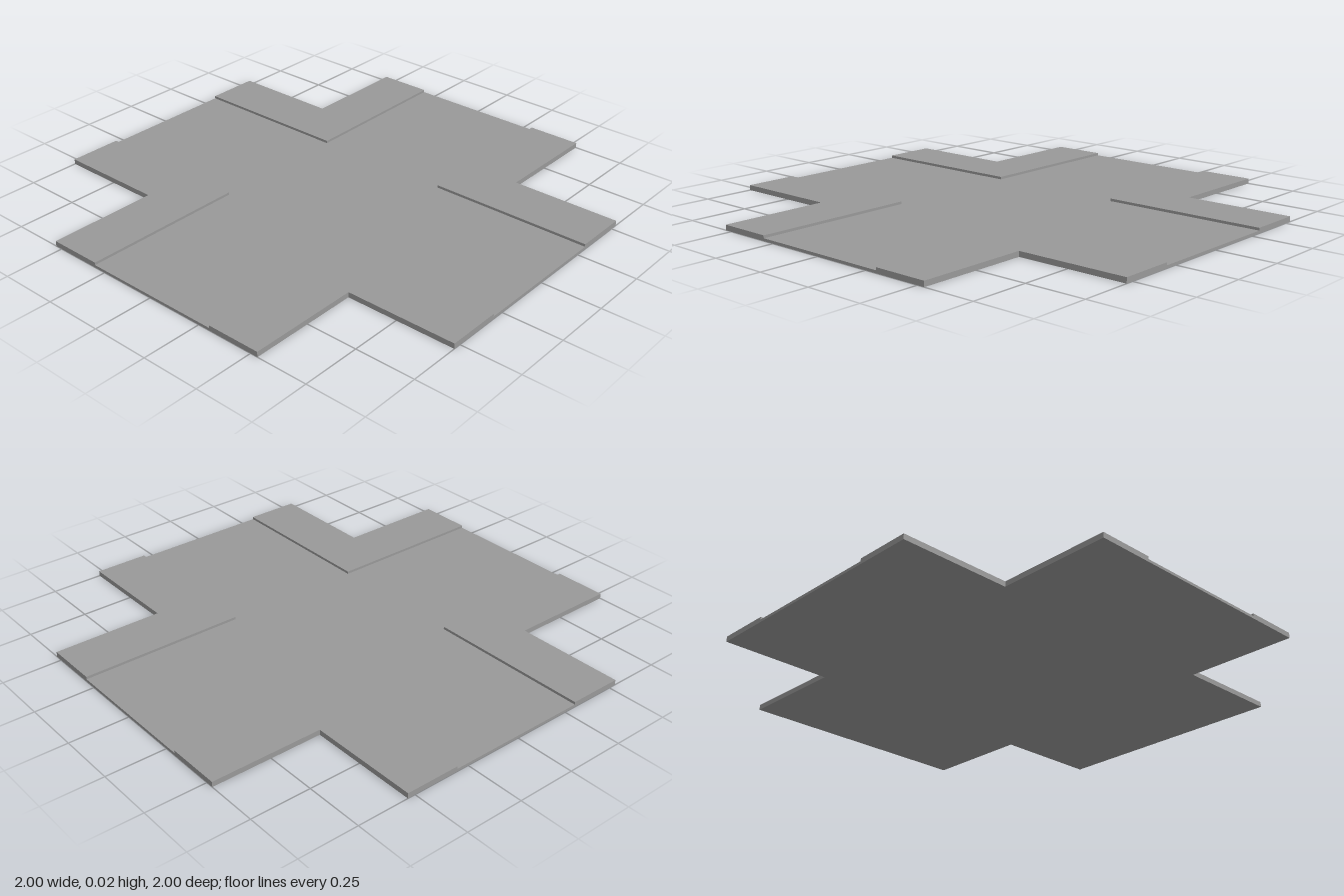
import * as THREE from 'three';

const HALF_ROAD = 0.302;  // half width of each roadway
const HALF_ARM = 0.532;   // half width of each arm including pavements
const REACH = 1;          // centre to the end of an arm
const ROAD_HEIGHT = 0.011;
const PAVEMENT_HEIGHT = 0.022;

// Flat slab standing on y = 0 from a plan outline
function slab(name, points, height, material) {
  const shape = new THREE.Shape(points.map(([x, y]) => new THREE.Vector2(x, y)));
  const geometry = new THREE.ExtrudeGeometry(shape, { depth: height, bevelEnabled: false });
  geometry.rotateX(-Math.PI / 2);
  const mesh = new THREE.Mesh(geometry, material);
  mesh.name = name;
  return mesh;
}

export function createModel() {
  const group = new THREE.Group();
  group.name = 'crossroads';
  const material = new THREE.MeshStandardMaterial({ color: 0x999999, flatShading: true });
  const r = HALF_ROAD, a = HALF_ARM, e = REACH;

  // Cross-shaped roadway
  group.add(slab('roadway', [
    [r, r], [r, e], [-r, e], [-r, r], [-e, r], [-e, -r],
    [-r, -r], [-r, -e], [r, -e], [r, -r], [e, -r], [e, r],
  ], ROAD_HEIGHT, material));

  // Raised L-shaped pavement on each corner
  const corner = [[r, r], [e, r], [e, a], [a, a], [a, e], [r, e]];
  ['backLeft', 'backRight', 'frontRight', 'frontLeft'].forEach((place, i) => {
    const pavement = slab(place + 'Pavement', corner, PAVEMENT_HEIGHT, material);
    pavement.rotation.y = i * Math.PI / 2;
    group.add(pavement);
  });

  return group;
}
